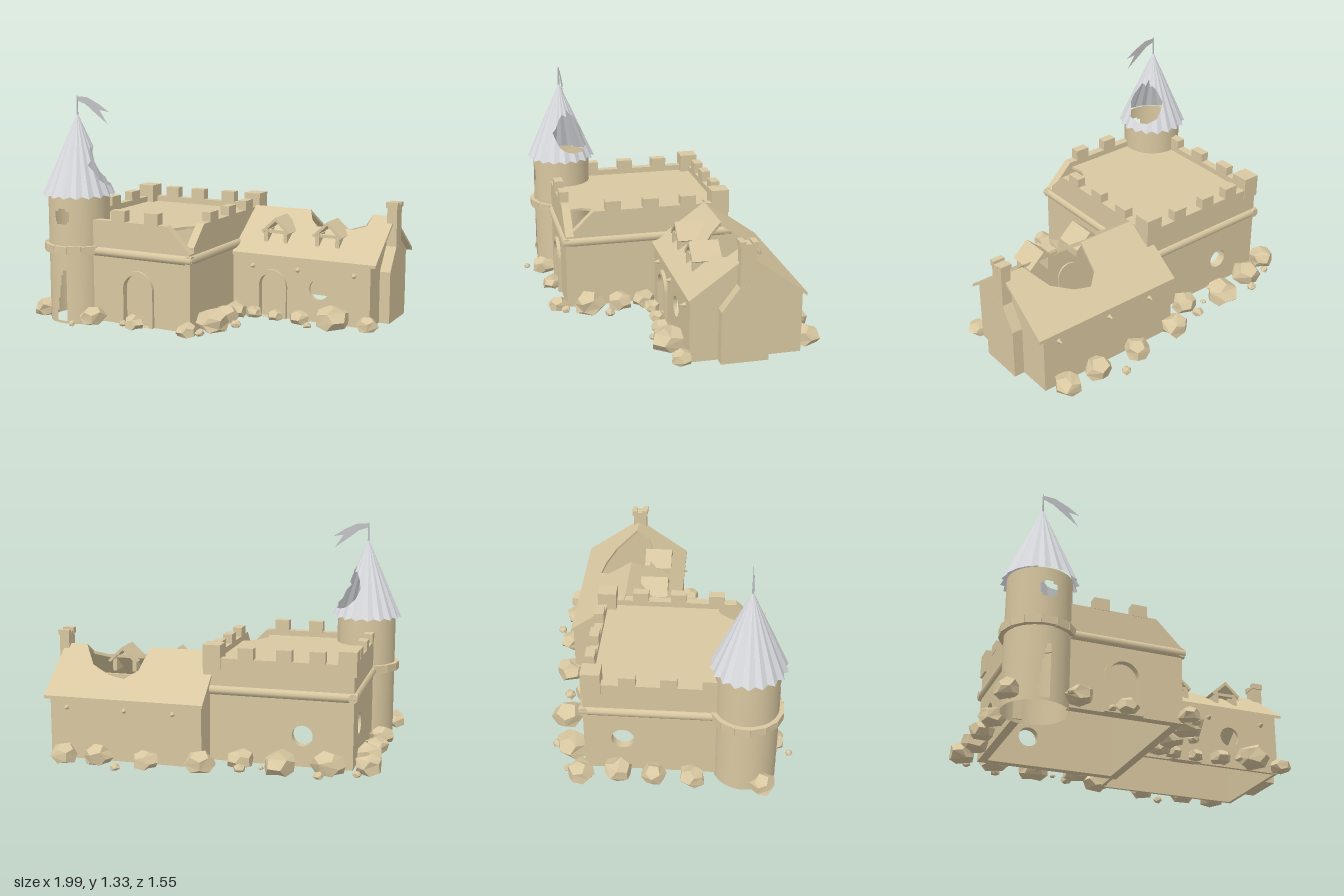
import * as THREE from 'three';

export function createModel() {
  const model = new THREE.Group();
  const stone = new THREE.MeshStandardMaterial({ color: 0xd8c7a0, side: THREE.DoubleSide });
  const slate = new THREE.MeshStandardMaterial({ color: 0xdadce0, side: THREE.DoubleSide });
  const cloth = new THREE.MeshStandardMaterial({ color: 0xc2c3c6, side: THREE.DoubleSide });

  const add = (name, geo, mat = stone, x = 0, y = 0, z = 0, parent = model) => {
    const m = new THREE.Mesh(geo, mat);
    m.name = name;
    m.position.set(x, y, z);
    parent.add(m);
    return m;
  };
  const box = (name, w, h, d, x, y, z, parent) => add(name, new THREE.BoxGeometry(w, h, d), stone, x, y, z, parent);
  const poly = pts => new THREE.Shape(pts.map(p => new THREE.Vector2(p[0], p[1])));
  const slab = (shape, depth) => new THREE.ExtrudeGeometry(shape, { depth, bevelEnabled: false, curveSegments: 16 });
  const arch = (path, x, hw, y0, spring) => {
    path.moveTo(x - hw, y0);
    path.lineTo(x - hw, spring);
    path.absarc(x, spring, hw, Math.PI, 0, true);
    path.lineTo(x + hw, y0);
    path.closePath();
    return path;
  };
  const roundHole = (x, y, r) => new THREE.Path().absarc(x, y, r, 0, Math.PI * 2, true);
  let seed = 7;
  const rand = () => (seed = (seed * 16807) % 2147483647) / 2147483647;

  // Walls facing z (outline in x,y) and walls facing x (outline in -z,y)
  const wallZ = (name, shape, z, t) => add(name, slab(shape, t), stone, 0, 0, z);
  const wallX = (name, shape, x, t) => { add(name, slab(shape, t), stone, x).rotation.y = Math.PI / 2; };
  // Sheet drawn in plan (x,z), raised by a height rule
  const sheet = (name, pts, height, t) => {
    const g = slab(poly(pts), t), p = g.attributes.position;
    for (let i = 0; i < p.count; i++) {
      const z = p.getY(i);
      p.setXYZ(i, p.getX(i), height(z) - p.getZ(i), z);
    }
    g.computeVertexNormals();
    add(name, g);
  };
  const doorway = (name, x, hw, spring, z) => {
    const frame = arch(new THREE.Shape(), x, hw + 0.025, 0.02, spring);
    frame.holes.push(arch(new THREE.Path(), x, hw, 0.021, spring));
    add(name + 'Frame', slab(frame, 0.04), stone, 0, 0, z - 0.02);
    add(name, slab(arch(new THREE.Shape(), x, hw, 0.02, spring), 0.01), stone, 0, 0, z - 0.03);
  };

  // Keep walls, with a broken front corner
  const front = poly([[-0.585, 0.02], [0.06, 0.02], [0.06, 0.47], [-0.09, 0.62], [-0.585, 0.62]]);
  front.holes.push(arch(new THREE.Path(), -0.285, 0.085, 0.021, 0.235));
  wallZ('keepFrontWall', front, 0.53, 0.05);
  wallX('keepRightWall', poly([[-0.53, 0.02], [0.42, 0.02], [0.42, 0.62], [-0.41, 0.62], [-0.53, 0.5]]), 0.01, 0.05);
  const back = poly([[-0.81, 0.02], [0.06, 0.02], [0.06, 0.62], [-0.81, 0.62]]);
  back.holes.push(roundHole(-0.52, 0.2, 0.06));
  wallZ('keepBackWall', back, -0.42, 0.05);
  const side = poly([[-0.325, 0.02], [0.37, 0.02], [0.37, 0.62], [-0.325, 0.62]]);
  side.holes.push(roundHole(0.2, 0.24, 0.065));
  wallX('keepLeftWall', side, -0.81, 0.05);
  doorway('keepDoor', -0.285, 0.085, 0.235, 0.58);
  sheet('keepDeck', [[-0.78, -0.39], [0.03, -0.39], [0.03, 0.3], [-0.03, 0.31], [-0.08, 0.37], [-0.12, 0.45],
    [-0.1, 0.55], [-0.57, 0.55], [-0.57, 0.42], [-0.68, 0.32], [-0.78, 0.32]], () => 0.585, 0.015);

  // Rounded moulding around the keep
  const moulding = (x0, z0, x1, z1) => {
    const len = Math.hypot(x1 - x0, z1 - z0);
    const m = add('keepMoulding', new THREE.CylinderGeometry(0.027, 0.027, len, 10), stone, (x0 + x1) / 2, 0.435, (z0 + z1) / 2);
    m.rotation.set(x0 === x1 ? Math.PI / 2 : 0, 0, z0 === z1 ? Math.PI / 2 : 0);
  };
  moulding(-0.585, 0.575, 0.075, 0.575);
  moulding(0.055, 0.595, 0.055, -0.44);
  moulding(0.075, -0.415, -0.83, -0.415);
  moulding(-0.805, -0.44, -0.805, 0.325);

  // Battlements
  const merlons = new THREE.Group();
  merlons.name = 'battlements';
  model.add(merlons);
  for (const x of [-0.41, -0.19]) box('merlon', 0.09, 0.07, 0.055, x, 0.65, 0.555, merlons);
  for (const x of [-0.6, -0.41, -0.19]) box('merlon', 0.09, 0.07, 0.055, x, 0.65, -0.395, merlons);
  for (const z of [0.29, 0.06, -0.17])
    for (const x of [-0.785, 0.035]) box('merlon', 0.055, 0.06, 0.095, x, 0.645, z, merlons);
  for (const x of [-0.77, 0.01]) box('cornerMerlon', 0.105, 0.14, 0.11, x, 0.625, -0.37, merlons);

  // House walls
  const houseFront = poly([[0.06, 0.02], [0.925, 0.02], [0.925, 0.385], [0.06, 0.385]]);
  houseFront.holes.push(arch(new THREE.Path(), 0.315, 0.075, 0.021, 0.21), roundHole(0.615, 0.215, 0.06));
  wallZ('houseFrontWall', houseFront, 0.02, 0.02);
  wallZ('houseBackWall', poly([[0.03, 0.02], [0.925, 0.02], [0.925, 0.385], [0.03, 0.385]]), -0.595, 0.02);
  doorway('houseDoor', 0.315, 0.075, 0.21, 0.04);
  for (const x of [0.02, 0.91])
    wallX('houseGable', poly([[-0.04, 0.02], [0.595, 0.02], [0.595, 0.385], [0.275, 0.605], [-0.04, 0.385]]), x, 0.02);

  // House roof with a ragged hole across the ridge
  const roofY = z => 0.63 - Math.abs(z + 0.27) * 0.72;
  sheet('houseRoofFront', [[0.06, -0.27], [0.43, -0.27], [0.47, -0.2], [0.52, -0.16], [0.75, -0.16], [0.82, -0.19],
    [0.83, -0.27], [0.965, -0.27], [0.965, 0.055], [0.06, 0.055]], roofY, 0.018);
  sheet('houseRoofBack', [[0.01, -0.27], [0.01, -0.61], [0.965, -0.61], [0.965, -0.27], [0.83, -0.27], [0.74, -0.4],
    [0.62, -0.46], [0.52, -0.48], [0.45, -0.42], [0.43, -0.27]], roofY, 0.018);

  // Dormers
  for (const x of [0.305, 0.635]) {
    const d = new THREE.Group();
    d.name = 'dormer';
    d.position.x = x;
    model.add(d);
    add('dormerRoof', slab(poly([[-0.095, 0.52], [-0.08, 0.51], [0, 0.585], [0.08, 0.51], [0.095, 0.52], [0, 0.607]]), 0.17),
      stone, 0, 0, -0.195, d);
    for (const s of [-1, 1]) box('dormerCheek', 0.025, 0.08, 0.13, s * 0.063, 0.49, -0.095, d);
    box('dormerBeam', 0.13, 0.018, 0.02, 0, 0.52, -0.045, d);
  }

  // Peg ends on the long walls
  for (const x of [0.19, 0.48, 0.83])
    for (const s of [-1, 1])
      add('peg', new THREE.ConeGeometry(0.016, 0.035, 8), stone, x, 0.32, s > 0 ? 0.057 : -0.61).rotation.x = s * Math.PI / 2;

  // Chimney: broad base, sloping shoulders, narrow stack
  wallX('chimneyBase', poly([[0.12, 0.02], [0.39, 0.02], [0.39, 0.325], [0.305, 0.46], [0.22, 0.46], [0.12, 0.325]]), 0.925, 0.068);
  box('chimneyStack', 0.06, 0.25, 0.085, 0.962, 0.575, -0.262);
  for (const [z, h] of [[-0.228, 0.035], [-0.262, 0.02], [-0.298, 0.03]]) box('chimneyCap', 0.07, h, 0.032, 0.962, 0.685 + h / 2, z);

  // Round tower, bent from a grid with door and window openings left out
  const cx = -0.74, cz = 0.49, R = 0.18;
  const cols = 96, rows = 50, H = 0.76;
  const grid = new THREE.PlaneGeometry(1, H, cols, rows);
  const gp = grid.attributes.position, keep = [];
  const at = i => [R * Math.sin(gp.getX(i) * Math.PI * 2), gp.getY(i) + H / 2];
  for (let f = 0; f < grid.index.count; f += 6) {
    const a = grid.index.getX(f), b = grid.index.getX(f + 4);
    const [ax, ay] = at(a), [bx, by] = at(b);
    const x = (ax + bx) / 2, y = (ay + by) / 2, inFront = Math.abs(gp.getX(a)) < 0.25;
    const windowGap = Math.hypot(x, y - 0.635) < 0.05;
    const doorGap = y > 0.02 && y < 0.32 && x < 0.025 && x > -0.05 + (y - 0.02) * 0.16;
    if (inFront && (windowGap || doorGap)) continue;
    for (let k = 0; k < 6; k++) keep.push(grid.index.getX(f + k));
  }
  grid.setIndex(keep);
  for (let i = 0; i < gp.count; i++) {
    const a = gp.getX(i) * Math.PI * 2, y = gp.getY(i) + H / 2;
    gp.setXYZ(i, R * Math.sin(a), y, R * Math.cos(a));
    grid.attributes.normal.setXYZ(i, Math.sin(a), 0, Math.cos(a));
  }
  add('towerWall', grid, stone, cx, 0, cz);
  for (let i = 0; i < 15; i++) {
    const a = i / 15 * Math.PI * 2;
    const b = box('towerBandStone', 0.084, 0.044 + 0.006 * rand(), 0.035, cx + 0.187 * Math.sin(a), 0.442, cz + 0.187 * Math.cos(a));
    b.rotation.y = a;
  }

  // Pleated spire with a torn opening
  const n = 36, pos = [], base = 0.745, tip = 1.23;
  const edges = [];
  for (let i = 0; i < n; i++) {
    const a = i / n * Math.PI * 2;
    const t = (((a + Math.PI * 1.15) % (Math.PI * 2)) - Math.PI) / 0.85;
    const s = Math.abs(t) < 1 ? Math.sqrt(1 - t * t) : 0;
    const pleat = i % 2 ? 0.95 : 1.01;
    const point = y => {
      const r = 0.214 * pleat * (tip - y) / (tip - base);
      return [r * Math.cos(a), y, r * Math.sin(a)];
    };
    edges.push([base + (i % 2) * 0.012, 0.93 - 0.13 * s, 0.93 + s * (0.09 + 0.05 * rand()), tip].map(point));
  }
  for (let i = 0; i < n; i++) {
    const p = edges[i], q = edges[(i + 1) % n];
    for (const k of [0, 2]) pos.push(...p[k], ...p[k + 1], ...q[k], ...q[k], ...p[k + 1], ...q[k + 1]);
  }
  const spire = new THREE.BufferGeometry();
  spire.setAttribute('position', new THREE.Float32BufferAttribute(pos, 3));
  spire.computeVertexNormals();
  add('towerSpire', spire, slate, cx, 0, cz);
  add('flagPole', new THREE.CylinderGeometry(0.004, 0.006, 0.13, 6), cloth, cx, 1.265, cz);
  add('flag', new THREE.ShapeGeometry(poly([[0, 1.325], [0.07, 1.322], [0.15, 1.285], [0.22, 1.24], [0.155, 1.25],
    [0.21, 1.17], [0.12, 1.235], [0.06, 1.28], [0, 1.3]])), cloth, cx, 0, cz);

  // Rubble around the foot: x, z, radius
  const rubble = [[-0.9, -0.43, 0.08], [-0.69, -0.51, 0.095], [-0.43, -0.57, 0.095], [-0.18, -0.5, 0.075], [-0.87, -0.23, 0.08],
    [-0.89, -0.02, 0.07], [-0.89, 0.2, 0.075], [-0.92, 0.6, 0.07], [-0.55, 0.65, 0.075], [-0.28, 0.63, 0.06],
    [0.13, 0.27, 0.075], [0.14, 0.46, 0.09], [0.07, 0.64, 0.06], [0.02, -0.63, 0.085], [0.33, -0.66, 0.075],
    [0.61, -0.66, 0.08], [0.82, -0.66, 0.08], [0.12, 0.12, 0.07], [0.22, 0.09, 0.05], [0.36, 0.09, 0.045],
    [0.52, 0.1, 0.06], [0.73, 0.11, 0.1], [0.93, 0.08, 0.065],
    [-0.85, -0.52, 0.025], [-0.65, -0.61, 0.03], [-0.2, -0.6, 0.035], [0.48, -0.75, 0.03], [-0.31, -0.53, 0.018],
    [-0.44, -0.45, 0.025], [-0.63, 0.75, 0.022], [0.23, 0.35, 0.033], [0.13, 0.6, 0.03], [0.6, 0.17, 0.025], [-0.36, 0.62, 0.025]];
  const rocks = new THREE.Group();
  rocks.name = 'rubble';
  model.add(rocks);
  for (const [x, z, r] of rubble) {
    const g = r > 0.04 ? new THREE.DodecahedronGeometry(r, 0) : new THREE.IcosahedronGeometry(r, 0);
    const p = g.attributes.position, moved = new Map();
    for (let i = 0; i < p.count; i++) {
      const key = [p.getX(i), p.getY(i), p.getZ(i)].map(v => Math.round(v * 1e4)).join();
      if (!moved.has(key)) moved.set(key, 0.9 + 0.25 * rand());
      const k = moved.get(key);
      p.setXYZ(i, p.getX(i) * k, Math.max(p.getY(i) * k * 0.85, -r * 0.5), p.getZ(i) * k);
    }
    g.computeVertexNormals();
    add('rock', g, stone, x, 0.02 + r * 0.5, z, rocks).rotation.y = rand() * 6;
  }
  return model;
}
